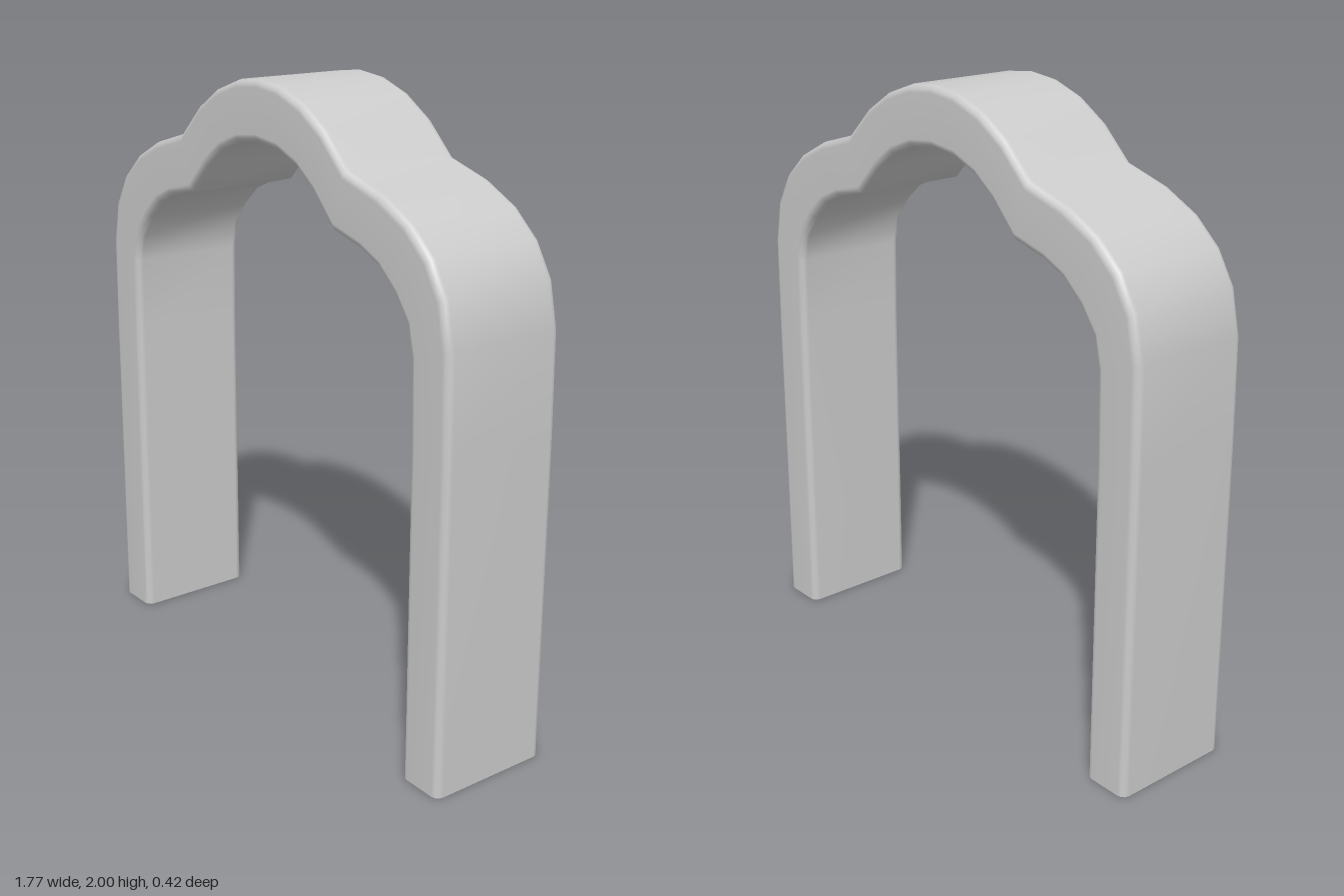
import * as THREE from 'three';

// Half of the arch, foot to crown: outer x, outer y, inner x, inner y
const HALF = [
  [0.885, 0, 0.725, 0],
  [0.885, 1.05, 0.725, 1.05],
  [0.88, 1.36, 0.72, 1.31],
  [0.85, 1.5, 0.70, 1.40],
  [0.79, 1.6, 0.645, 1.475],
  [0.70, 1.68, 0.57, 1.54],
  [0.58, 1.74, 0.49, 1.575],
  [0.425, 1.785, 0.37, 1.605],
  [0.32, 1.885, 0.28, 1.70],
  [0.215, 1.95, 0.20, 1.76],
  [0.105, 1.988, 0.105, 1.798],
  [0, 2, 0, 1.81],
];
const HALF_DEPTH = 0.21, RADIUS = 0.025, CORNER_STEPS = 3;

// Rounded rectangle: a runs from the inner to the outer edge, z is depth
function ringSection(width) {
  const points = [];
  const corners = [[1, 1], [0, 1], [0, -1], [1, -1]];
  corners.forEach(([outer, side], c) => {
    const ca = outer ? width - RADIUS : RADIUS;
    const cz = side * (HALF_DEPTH - RADIUS);
    for (let k = 0; k <= CORNER_STEPS; k++) {
      const t = (c + k / CORNER_STEPS) * Math.PI / 2;
      points.push([(ca + RADIUS * Math.cos(t)) / width, cz + RADIUS * Math.sin(t)]);
    }
  });
  return points;
}

function archGeometry() {
  const mirrored = HALF.slice(0, -1).reverse().map(([ox, oy, ix, iy]) => [-ox, oy, -ix, iy]);
  const stations = [...HALF, ...mirrored];
  const positions = [], index = [];
  const n = 4 * (CORNER_STEPS + 1);
  const addRing = ([ox, oy, ix, iy]) => {
    for (const [a, z] of ringSection(Math.hypot(ox - ix, oy - iy))) {
      positions.push(ix + (ox - ix) * a, iy + (oy - iy) * a, z);
    }
  };

  // Smooth skin around the band
  stations.forEach(addRing);
  for (let s = 0; s < stations.length - 1; s++) {
    for (let j = 0; j < n; j++) {
      const a = s * n + j, b = s * n + (j + 1) % n;
      index.push(a, a + n, b, b, a + n, b + n);
    }
  }

  // Flat soles with their own vertices
  [stations[0], stations[stations.length - 1]].forEach((station, end) => {
    const start = positions.length / 3;
    addRing(station);
    for (let j = 1; j < n - 1; j++) {
      if (end === 0) index.push(start, start + j, start + j + 1);
      else index.push(start, start + j + 1, start + j);
    }
  });

  const geometry = new THREE.BufferGeometry();
  geometry.setAttribute('position', new THREE.Float32BufferAttribute(positions, 3));
  geometry.setIndex(index);
  geometry.computeVertexNormals();
  return geometry;
}

export function createModel() {
  const group = new THREE.Group();
  group.name = 'archway';
  const arch = new THREE.Mesh(archGeometry(), new THREE.MeshStandardMaterial({ color: 0xcccccc }));
  arch.name = 'archBand';
  group.add(arch);
  return group;
}
